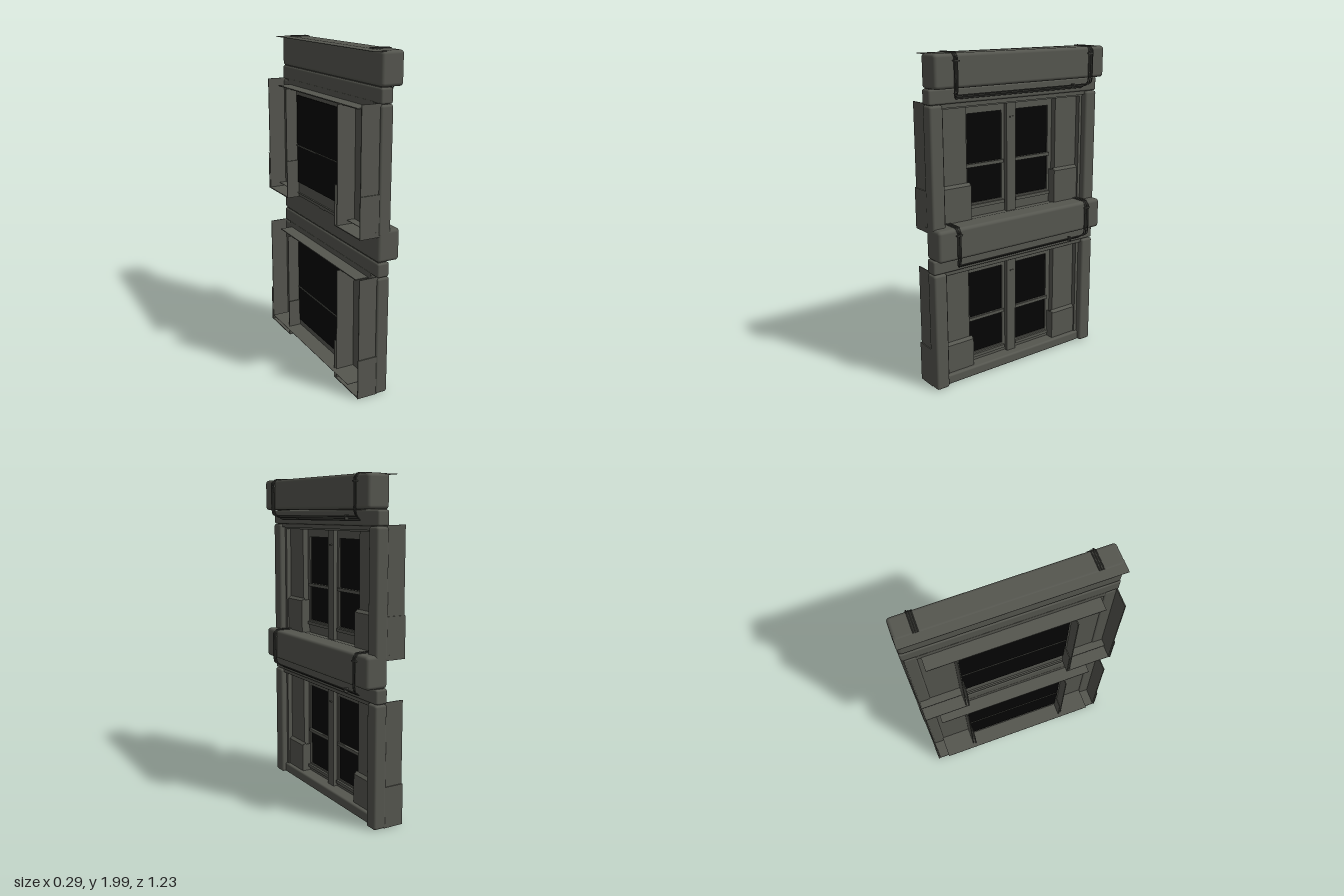
import * as THREE from 'three';
import { RoundedBoxGeometry } from 'three/addons/geometries/RoundedBoxGeometry.js';

export function createModel() {
  const model = new THREE.Group();
  model.name = 'facade';

  const paint = (name, color) => {
    const m = new THREE.MeshStandardMaterial({ color, side: THREE.DoubleSide });
    m.name = name;
    return m;
  };
  const wall = paint('wall grey', 0x55564f);
  const glass = paint('dark glass', 0x040404);
  const cableMat = paint('cable grey', 0x42433e);

  // Box given by its limits; a radius rounds its edges
  function box(parent, name, mat, x, y, z, radius = 0) {
    const w = x[1] - x[0], h = y[1] - y[0], d = z[1] - z[0];
    const geo = radius ? new RoundedBoxGeometry(w, h, d, 3, radius) : new THREE.BoxGeometry(w, h, d);
    const mesh = new THREE.Mesh(geo, mat);
    mesh.name = name;
    mesh.position.set((x[0] + x[1]) / 2, (y[0] + y[1]) / 2, (z[0] + z[1]) / 2);
    parent.add(mesh);
    return mesh;
  }

  // Limits on the +z or -z side
  const side = (s, a, b) => (s > 0 ? [a, b] : [-b, -a]);

  // Upper and lower beams with a thin ledge behind
  function addBeams(g) {
    box(g, 'beam', wall, [-0.01, 0.13], [0.822, 1.011], [-0.615, 0.615], 0.02);
    box(g, 'beamLedge', wall, [-0.055, 0.02], [1.005, 1.008], [-0.612, 0.612]);
    box(g, 'beamLip', wall, [-0.01, 0.065], [0.733, 0.82], [-0.615, 0.615], 0.012);
    box(g, 'beamCore', wall, [0, 0.05], [0.71, 0.86], [-0.6, 0.6]);
  }

  // Outer pillar, inset panel with pedestal, and the open shell behind them
  function addSide(g, s) {
    box(g, 'pillar', wall, [-0.01, 0.07], [0, 0.731], side(s, 0.528, 0.615), 0.015);
    box(g, 'sideFrame', wall, [-0.005, 0.03], [0.005, 0.73], side(s, 0.508, 0.535));
    box(g, 'panel', wall, [-0.006, 0], [0.005, 0.705], side(s, 0.34, 0.53));
    box(g, 'panelReturn', wall, [-0.12, 0], [0.005, 0.705], side(s, 0.335, 0.341));
    box(g, 'shellSide', wall, [-0.122, 0], [0.005, 0.74], side(s, 0.599, 0.605));
    box(g, 'shellFoot', wall, [-0.127, 0], [0, 0.245], side(s, 0.605, 0.611));
    box(g, 'shellFloor', wall, [-0.125, 0], [0, 0.006], side(s, 0.32, 0.611));

    // Pedestal with sloping top, extruded across its width
    const p = new THREE.Shape();
    p.moveTo(-0.002, 0.005);
    p.lineTo(0.02, 0.005);
    p.lineTo(0.02, 0.24);
    p.lineTo(0, 0.255);
    p.lineTo(-0.002, 0.255);
    const geo = new THREE.ExtrudeGeometry(p, { depth: 0.19, bevelEnabled: false });
    const pedestal = new THREE.Mesh(geo, wall);
    pedestal.name = 'pedestal';
    pedestal.position.z = s > 0 ? 0.318 : -0.508;
    g.add(pedestal);
    box(g, 'pedestalReturn', wall, [-0.127, 0.018], [0.005, 0.245], side(s, 0.318, 0.324));
  }

  // Double sash window with glass, pierced frame, central post and rails
  function addWindow(g) {
    box(g, 'glass', glass, [-0.05, -0.046], [0.1, 0.665], [-0.325, 0.325]);
    box(g, 'backRail', wall, [-0.054, -0.05], [0.341, 0.347], [-0.325, 0.325]);
    const frame = new THREE.Shape();
    frame.moveTo(-0.34, 0.005);
    frame.lineTo(0.34, 0.005);
    frame.lineTo(0.34, 0.705);
    frame.lineTo(-0.34, 0.705);
    for (const z of [-0.178, 0.182]) {
      for (const [y0, y1] of [[0.115, 0.333], [0.355, 0.652]]) {
        const hole = new THREE.Path();
        hole.moveTo(z - 0.125, y0);
        hole.lineTo(z - 0.125, y1);
        hole.lineTo(z + 0.125, y1);
        hole.lineTo(z + 0.125, y0);
        frame.holes.push(hole);
      }
      box(g, 'meetingRail', wall, [-0.044, -0.028], [0.334, 0.354], [z - 0.135, z + 0.135]);
      box(g, 'sashSill', wall, [-0.044, -0.022], [0.085, 0.105], [z - 0.135, z + 0.135]);
    }
    const geo = new THREE.ExtrudeGeometry(frame, { depth: 0.009, bevelEnabled: false });
    geo.rotateY(-Math.PI / 2);
    const mesh = new THREE.Mesh(geo, wall);
    mesh.name = 'windowFrame';
    mesh.position.x = -0.036;
    g.add(mesh);
    box(g, 'post', wall, [-0.045, -0.01], [0, 0.705], [-0.03, 0.036]);
    box(g, 'postTab', wall, [-0.012, -0.004], [0.608, 0.616], [-0.012, 0.014]);
    box(g, 'soffit', wall, [-0.092, 0.02], [0.7, 0.706], [-0.51, 0.51]);
    box(g, 'header', wall, [-0.01, 0.03], [0.7, 0.74], [-0.535, 0.535]);
  }

  // Three cables draped over the beam at both ends and slung below it
  function addCables(g) {
    for (let i = 0; i < 3; i++) {
      const z = 0.472 + i * 0.012, x = 0.134 + i * 0.003;
      const y = 0.763 + i * 0.011, low = 0.085 + i * 0.018;
      const half = [[0, 1.014, z], [0.115, 1.014, z], [x, 0.99, z], [x, 0.825, z], [x - 0.006, 0.795, z], [low, y, z - 0.01]];
      const other = half.map(([a, b, c]) => [a, b, -c - 0.012]).reverse();
      const pts = [...half, ...other].map((v) => new THREE.Vector3(...v));
      const path = new THREE.CurvePath();
      for (let k = 1; k < pts.length; k++) path.add(new THREE.LineCurve3(pts[k - 1], pts[k]));
      const cable = new THREE.Mesh(new THREE.TubeGeometry(path, 160, 0.004, 6), cableMat);
      cable.name = 'cable';
      g.add(cable);
    }
    box(g, 'cableClip', cableMat, [0.1, 0.126], [0.765, 0.793], [-0.38, -0.372]);
    for (const z of [0.482, -0.496]) {
      box(g, 'cableClamp', cableMat, [0.126, 0.143], [0.967, 0.975], [z - 0.02, z + 0.02]);
    }
  }

  // Two equal storeys
  for (let i = 0; i < 2; i++) {
    const storey = new THREE.Group();
    storey.name = i ? 'upperStorey' : 'lowerStorey';
    storey.position.y = i * 0.977;
    addBeams(storey);
    addSide(storey, 1);
    addSide(storey, -1);
    addWindow(storey);
    addCables(storey);
    model.add(storey);
  }

  // Base sill and floor of the lower recess
  box(model, 'baseSill', wall, [-0.01, 0.045], [0, 0.062], [-0.535, 0.535], 0.012);
  box(model, 'recessFloor', wall, [-0.15, 0.02], [0.06, 0.062], [-0.537, 0.532]);
  return model;
}
